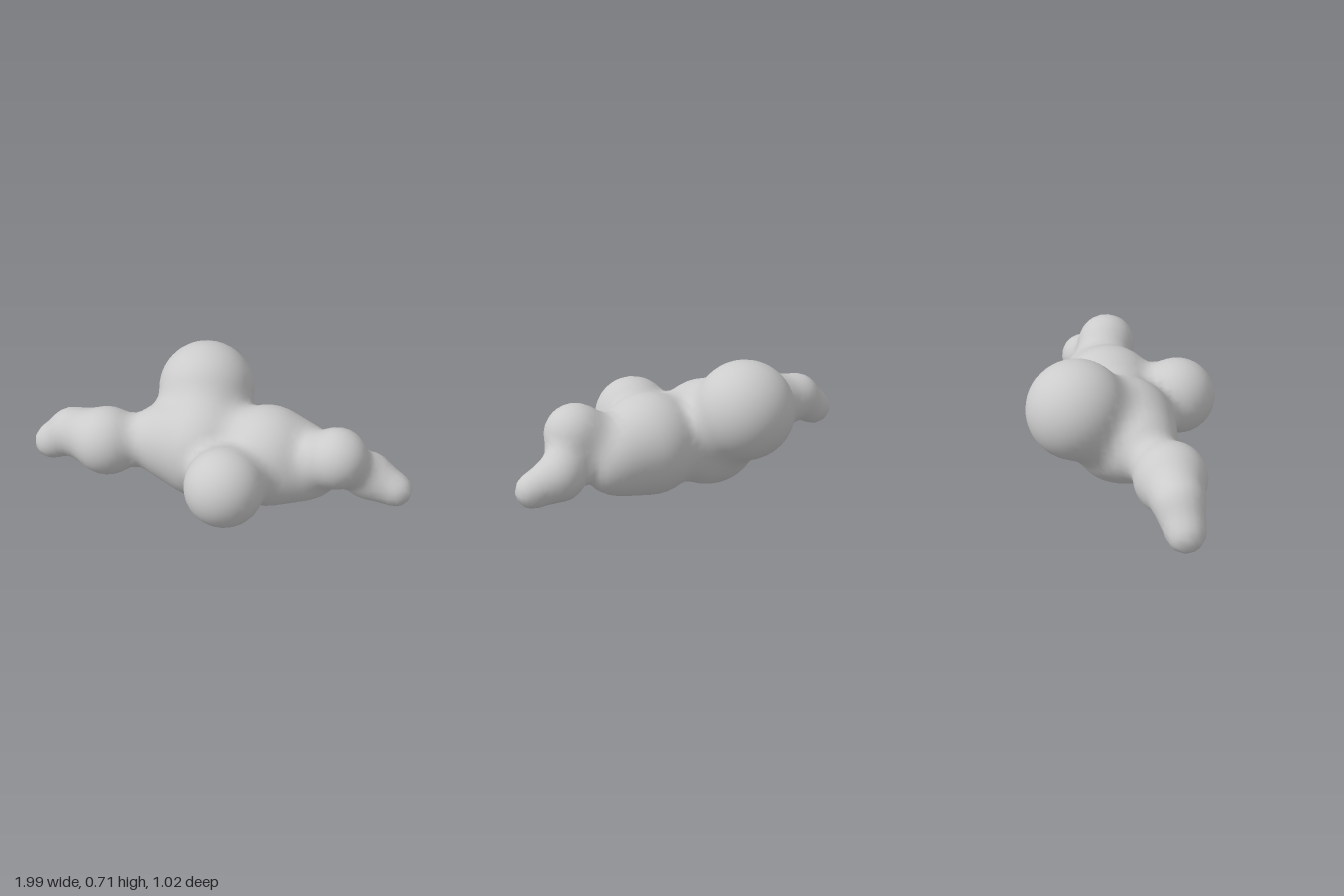
import * as THREE from 'three';

// Puffs that melt together into one skin: x, y, z, radius
const PUFFS = {
  coreRight: [-0.1, 0.28, -0.02, 0.275],
  coreRightShoulder: [-0.3, 0.3, 0.04, 0.18],
  coreLeft: [0.25, 0.295, -0.04, 0.26],
  coreLeftShoulder: [0.45, 0.275, -0.08, 0.185],
  backPuff: [-0.18, 0.465, -0.26, 0.252],
  frontPuff: [0.155, 0.31, 0.31, 0.2],
  rightArm: [-0.575, 0.28, 0.14, 0.18],
  rightForearm: [-0.78, 0.285, 0.14, 0.127],
  rightTip: [-0.905, 0.195, 0.15, 0.093],
  leftArm: [0.63, 0.41, 0.0, 0.155],
  leftForearm: [0.77, 0.265, -0.115, 0.122],
  leftTip: [0.915, 0.22, -0.11, 0.083],
};
const BLEND = 0.09;
const STEP = 0.04;
const START = [-1.12, -0.12, -0.64];
const COUNT = [57, 25, 33];

// Signed distance to the puffs, joined by a smooth minimum
function field(x, y, z) {
  let d = 10;
  for (const [px, py, pz, r] of Object.values(PUFFS)) {
    const e = Math.hypot(x - px, y - py, z - pz) - r;
    const h = Math.max(BLEND - Math.abs(d - e), 0) / BLEND;
    d = Math.min(d, e) - h * h * BLEND * 0.25;
  }
  return d;
}

function gradient([x, y, z]) {
  const e = 0.004;
  return new THREE.Vector3(
    field(x + e, y, z) - field(x - e, y, z),
    field(x, y + e, z) - field(x, y - e, z),
    field(x, y, z + e) - field(x, y, z - e)
  ).normalize();
}

// Wraps the field in a quad skin: one vertex per crossed cell, one quad per crossed edge
function skinGeometry() {
  const [nx, ny, nz] = COUNT;
  const strides = [1, nx, nx * ny];
  const values = new Float32Array(nx * ny * nz);
  const at = (i, j, k) => i + j * strides[1] + k * strides[2];
  const place = (c) => c.map((n, a) => START[a] + n * STEP);
  const eachCell = (visit) => {
    for (let k = 1; k < nz - 1; k++)
      for (let j = 1; j < ny - 1; j++)
        for (let i = 1; i < nx - 1; i++) visit(i, j, k);
  };
  for (let k = 0; k < nz; k++)
    for (let j = 0; j < ny; j++)
      for (let i = 0; i < nx; i++) values[at(i, j, k)] = field(...place([i, j, k]));

  const positions = [], normals = [], indices = [];
  const vertexOf = new Map();
  eachCell((i, j, k) => {
    // Average the crossings on the cell's twelve edges
    const sum = [0, 0, 0];
    let hits = 0;
    for (let corner = 0; corner < 8; corner++) {
      for (let a = 0; a < 3; a++) {
        if (corner & (1 << a)) continue;
        const c = [i + (corner & 1), j + ((corner >> 1) & 1), k + (corner >> 2)];
        const d0 = values[at(...c)], d1 = values[at(...c) + strides[a]];
        if (d0 < 0 === d1 < 0) continue;
        c[a] += d0 / (d0 - d1);
        c.forEach((n, b) => (sum[b] += n));
        hits++;
      }
    }
    if (!hits) return;
    const p = place(sum.map((s) => s / hits));
    // Settle the vertex on the surface
    for (let n = 0; n < 2; n++) {
      const g = gradient(p).toArray(), d = field(...p);
      g.forEach((s, a) => (p[a] -= s * d));
    }
    vertexOf.set(at(i, j, k), positions.length / 3);
    positions.push(...p);
    normals.push(...gradient(p).toArray());
  });

  eachCell((i, j, k) => {
    const o = at(i, j, k);
    for (let a = 0; a < 3; a++) {
      const inside = values[o] < 0;
      if (inside === values[o + strides[a]] < 0) continue;
      const b = strides[(a + 1) % 3], c = strides[(a + 2) % 3];
      const q = [o, o - b, o - b - c, o - c].map((n) => vertexOf.get(n));
      if (!inside) q.reverse();
      indices.push(q[0], q[1], q[2], q[0], q[2], q[3]);
    }
  });

  const geometry = new THREE.BufferGeometry();
  geometry.setAttribute('position', new THREE.Float32BufferAttribute(positions, 3));
  geometry.setAttribute('normal', new THREE.Float32BufferAttribute(normals, 3));
  geometry.setIndex(indices);
  return geometry;
}

export function createModel() {
  const group = new THREE.Group();
  group.name = 'cloud';
  const body = new THREE.Mesh(skinGeometry(), new THREE.MeshStandardMaterial({ color: 0xcccccc }));
  body.name = 'cloudBody';
  group.add(body);
  return group;
}
